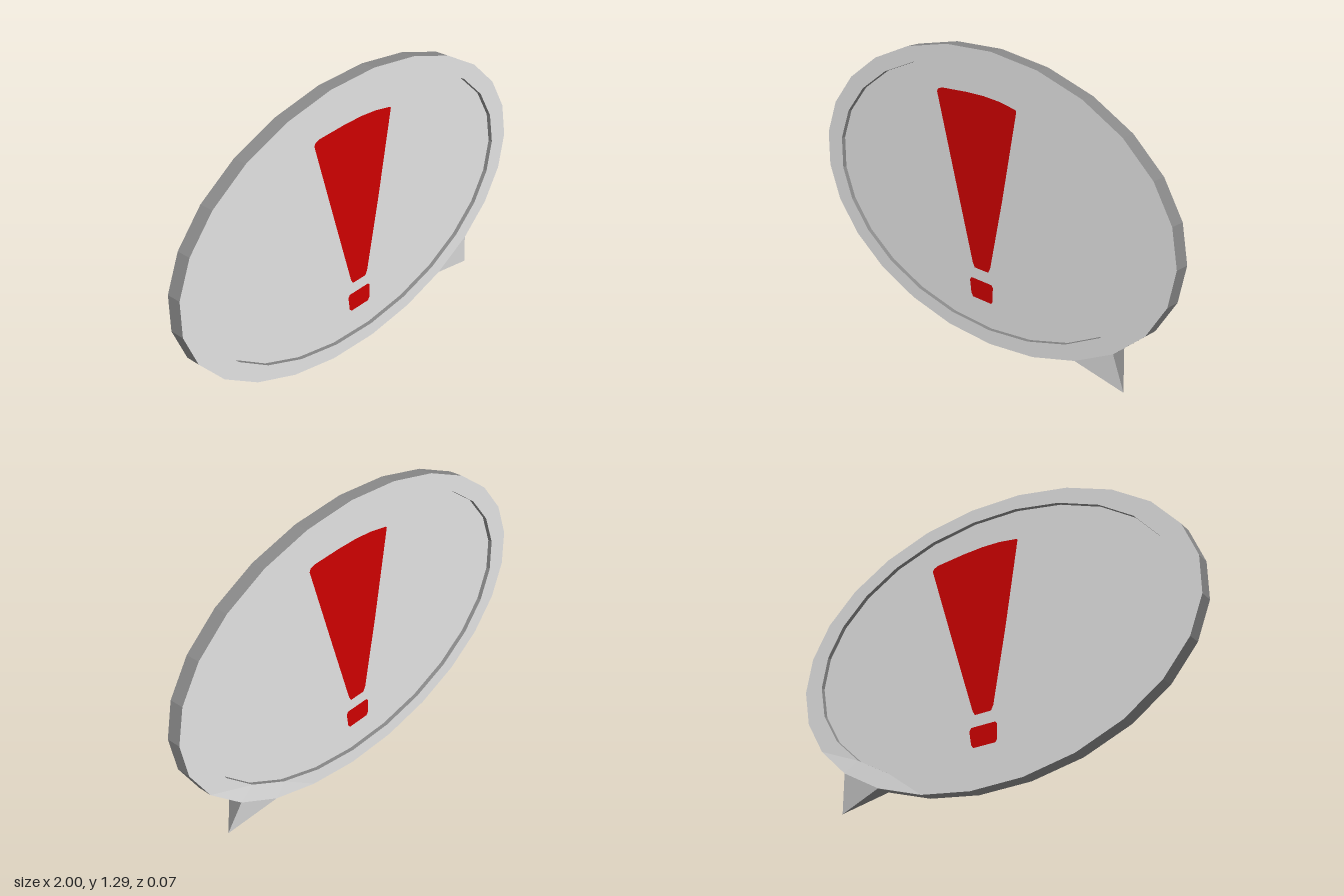
import * as THREE from 'three';
import { ConvexGeometry } from 'three/addons/geometries/ConvexGeometry.js';

const SIDES = 25, CX = -0.004, CY = 0.647;
const FRONT = 0.035, BACK = -0.029, BULGE = -0.035;
const MID = (FRONT + BACK) / 2, PANEL_HALF = 0.013;
const OUTER = [1.004, 0.648], INNER = [0.906, 0.583];

// Corner i of a 25-sided oval
const corner = (i, [rx, ry]) => {
  const a = (i / SIDES) * Math.PI * 2;
  return new THREE.Vector2(CX + rx * Math.cos(a), CY + ry * Math.sin(a));
};
const oval = (radii) => Array.from({ length: SIDES }, (_, i) => corner(i, radii));
const polygon = (pairs) => new THREE.Shape(pairs.map(([x, y]) => new THREE.Vector2(x, y)));
const at = (v, z) => new THREE.Vector3(v.x, v.y, z);

export function createModel() {
  const model = new THREE.Group();
  model.name = 'speechBubble';

  const lightGrey = new THREE.MeshStandardMaterial({ color: 0xe6e6e6 });
  lightGrey.name = 'lightGrey';
  const darkGrey = new THREE.MeshStandardMaterial({ color: 0x888888 });
  darkGrey.name = 'darkGrey';
  const red = new THREE.MeshStandardMaterial({ color: 0xd20000 });
  red.name = 'red';

  const add = (name, geometry, material, parent = model) => {
    const mesh = new THREE.Mesh(geometry, material);
    mesh.name = name;
    parent.add(mesh);
    return mesh;
  };

  // Raised oval rim: light faces, dark inner and outer walls
  const ring = new THREE.Shape(oval(OUTER));
  ring.holes.push(new THREE.Path(oval(INNER).reverse()));
  const rim = new THREE.ExtrudeGeometry(ring, { depth: FRONT - BACK, bevelEnabled: false });
  rim.translate(0, 0, BACK);
  add('rim', rim, [lightGrey, darkGrey]);

  // Panel recessed on both sides
  const panel = new THREE.ExtrudeGeometry(new THREE.Shape(oval(INNER)), {
    depth: PANEL_HALF * 2, bevelEnabled: false,
  });
  panel.translate(0, 0, MID - PANEL_HALF);
  add('panel', panel, lightGrey);

  // Slight swelling on the back of the rim where the tail joins
  const low = corner(21, OUTER), high = corner(22, OUTER);
  add('tailRoot', new ConvexGeometry([
    at(corner(20, OUTER), BACK), at(corner(23, OUTER), BACK),
    at(corner(21, INNER), BACK), at(corner(22, INNER), BACK),
    at(low, BACK), at(high, BACK), at(low, BULGE), at(high, BULGE),
  ]), lightGrey);

  // Pointed tail: light front and back, dark underside and outer side
  const tip = new THREE.Vector3(0.769, 0.039, 0.011);
  const lowFront = at(low, FRONT), highFront = at(high, FRONT);
  const lowBack = at(low, BULGE), highBack = at(high, BULGE);
  const triangles = (points) => {
    const geometry = new THREE.BufferGeometry().setFromPoints(points);
    geometry.computeVertexNormals();
    return geometry;
  };
  add('tailFaces', triangles([lowFront, tip, highFront, highBack, tip, lowBack]), lightGrey);
  add('tailSides', triangles([highFront, tip, highBack, lowBack, tip, lowFront]), darkGrey);

  // Exclamation mark painted on each face of the panel
  const wedge = polygon([
    [-0.05, 0.324], [0.03, 0.324], [0.042, 0.345], [0.11, 0.67], [0.185, 1.07], [0.18, 1.076],
    [0.09, 1.092], [0, 1.098], [-0.1, 1.096], [-0.24, 1.087], [-0.264, 1.078], [-0.27, 1.065],
    [-0.165, 0.7], [-0.062, 0.345],
  ]);
  const dot = polygon([
    [-0.06, 0.183], [0.049, 0.183], [0.058, 0.197], [0.058, 0.262], [0.049, 0.272],
    [-0.07, 0.272], [-0.079, 0.258], [-0.071, 0.197],
  ]);
  for (const side of ['front', 'back']) {
    const mark = new THREE.Group();
    mark.name = side + 'Mark';
    const z = PANEL_HALF + 0.002 + (side === 'front' ? MID : -MID);
    add(side + 'MarkWedge', new THREE.ShapeGeometry(wedge), red, mark).position.z = z;
    add(side + 'MarkDot', new THREE.ShapeGeometry(dot), red, mark).position.z = z;
    if (side === 'back') {
      // The rear mark leans very slightly
      mark.rotation.set(0, Math.PI, 0.02);
      mark.position.set(-0.008, 0.004, 0);
    }
    model.add(mark);
  }

  return model;
}
